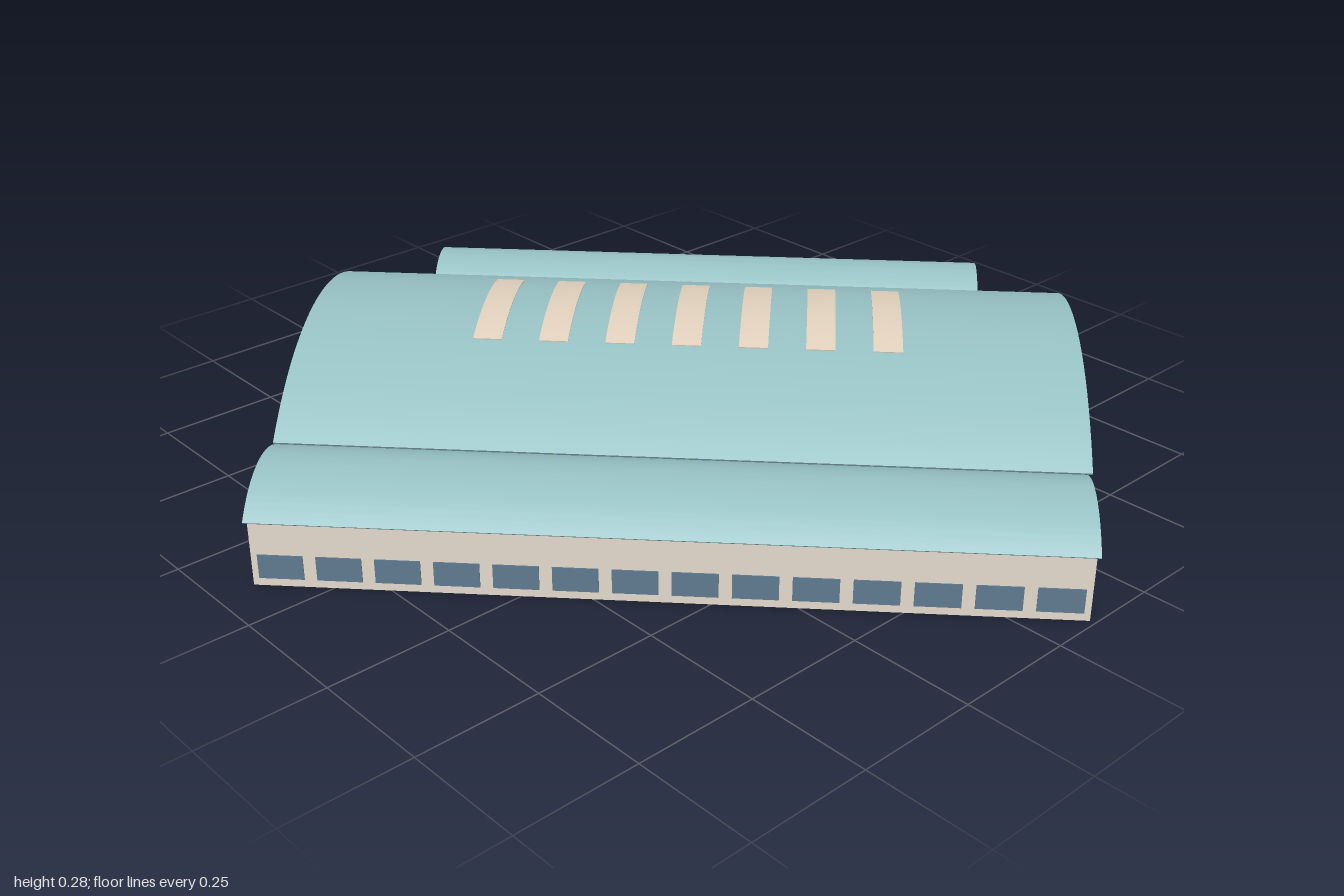
import * as THREE from 'three';
import { toCreasedNormals } from 'three/addons/utils/BufferGeometryUtils.js';

const mat = (color, side = THREE.FrontSide) => new THREE.MeshStandardMaterial({ color, side });
const WALL = mat(0xe2d8ca), ROOF = mat(0x96c0c3), GLASS = mat(0x5f7a90), STEEL = mat(0x3f6cab);
const SKY = mat(0xe0d0bc), FAN = mat(0x707a88, THREE.DoubleSide), DARK = mat(0x6a6a6c);

function add(parent, name, geo, material, x = 0, y = 0, z = 0) {
  const m = new THREE.Mesh(geo, material);
  m.name = name;
  m.position.set(x, y, z);
  parent.add(m);
  return m;
}
const box = (parent, name, material, w, h, d, x, y, z) =>
  add(parent, name, new THREE.BoxGeometry(w, h, d), material, x, y, z);

// Circle through both eaves and the crown of a vault
function arcOf(half, rise, eave) {
  const R = (half * half + rise * rise) / (2 * rise);
  return { R, cy: eave + rise - R, phi: Math.asin(Math.min(1, half / R)) };
}

// Extrude a (z, y) outline along x from x0 to x1
function along(shape, x0, x1) {
  const g = new THREE.ExtrudeGeometry(shape, { depth: x1 - x0, bevelEnabled: false, curveSegments: 28 });
  g.rotateY(Math.PI / 2).translate(x0, 0, 0);
  return toCreasedNormals(g, 0.5);
}

// Curved sheet following a vault arc
function sheet({ R, cy }, phi, thick, x0, x1) {
  const s = new THREE.Shape();
  s.absarc(0, cy, R + thick, Math.PI / 2 - phi, Math.PI / 2 + phi, false);
  s.absarc(0, cy, R, Math.PI / 2 + phi, Math.PI / 2 - phi, true);
  return along(s, x0, x1);
}

// Gable wall: rectangle below, arc above
function gable(arc, half, eave, base, x0, x1) {
  const s = new THREE.Shape();
  s.moveTo(-half, base);
  s.lineTo(half, base);
  s.lineTo(half, eave);
  s.absarc(0, arc.cy, arc.R, Math.PI / 2 - arc.phi, Math.PI / 2 + arc.phi, false);
  return along(s, x0, x1);
}

// Straight round bar between two points
function bar(parent, name, a, b, r, material) {
  const d = b.clone().sub(a);
  const m = add(parent, name, new THREE.CylinderGeometry(r, r, d.length(), 8), material);
  m.position.copy(a).addScaledVector(d, 0.5);
  m.quaternion.setFromUnitVectors(new THREE.Vector3(0, 1, 0), d.normalize());
}

// Vaulted wing with a row of windows on each wall; its ridge runs along x
function wing(name, len, width, eave, rise, nLong, nEnd, win) {
  const g = new THREE.Group();
  g.name = name;
  const t = 0.008, over = 0.006, L = len / 2 - over, H = width / 2 - over;
  const arc = arcOf(H, rise, eave), [w0, w1] = win, wy = (w0 + w1) / 2, wh = w1 - w0;
  for (const s of [-1, 1]) {
    box(g, 'longWall', WALL, 2 * L, eave, t, 0, eave / 2, s * (H - t / 2));
    add(g, 'gableWall', gable(arc, H, eave, 0, -t / 2, t / 2), WALL, s * (L - t / 2));
    const stepL = 2 * L / nLong, stepE = 2 * H / nEnd;
    for (let i = 0; i < nLong; i++)
      box(g, 'window', GLASS, stepL * 0.78, wh, t + 0.004, -L + stepL * (i + 0.5), wy, s * (H - t / 2));
    for (let i = 0; i < nEnd; i++)
      box(g, 'gableWindow', GLASS, t + 0.004, wh, stepE * 0.72, s * (L - t / 2), wy, -H + stepE * (i + 0.5));
  }
  add(g, 'wingRoof', sheet(arc, arc.phi + over / arc.R, 0.005, -len / 2, len / 2), ROOF);
  return g;
}

// Small kiosk with a hipped roof
function kiosk(x) {
  const g = new THREE.Group();
  g.name = 'kiosk';
  g.position.x = x;
  for (const s of [-1, 1]) {
    box(g, 'kioskWall', WALL, 0.006, 0.05, 0.11, s * 0.06, 0.025, 0);
    box(g, 'kioskWall', WALL, 0.12, 0.05, 0.006, 0, 0.025, s * 0.052);
    for (const k of [-1, 1]) {
      box(g, 'kioskWindow', GLASS, 0.009, 0.022, 0.036, s * 0.06, 0.028, k * 0.024);
      box(g, 'kioskWindow', GLASS, 0.042, 0.022, 0.009, k * 0.027, 0.028, s * 0.052);
    }
  }
  const roof = new THREE.ConeGeometry(Math.SQRT1_2, 0.033, 4).rotateY(Math.PI / 4);
  add(g, 'kioskRoof', toCreasedNormals(roof.scale(0.14, 1, 0.125), 0.3), DARK, 0, 0.0665, 0);
  return g;
}

const HALF = 0.394, EAVE = 0.14, RISE = 0.135;
const hallArc = arcOf(HALF, RISE, EAVE);
const onArc = (off, phi, x = 0) => new THREE.Vector3(x,
  hallArc.cy + (hallArc.R - off) * Math.cos(phi), (hallArc.R - off) * Math.sin(phi));

// Open end of the hall: columns, arched truss, glazed fan, transom
function hallEnd() {
  const g = new THREE.Group();
  g.name = 'hallEnd';
  const n = 16, P = hallArc.phi * 0.985;
  for (const [off, r] of [[0.006, 0.006], [0.034, 0.004]]) {
    const pts = Array.from({ length: n + 1 }, (_, i) => onArc(off, -P + 2 * P * i / n));
    add(g, 'archChord', new THREE.TubeGeometry(new THREE.CatmullRomCurve3(pts), 40, r, 8), STEEL);
  }
  for (let i = 0; i < n; i++) {
    const a = -P + 2 * P * i / n, b = a + 2 * P / n;
    bar(g, 'trussWeb', onArc(i % 2 ? 0.034 : 0.006, a), onArc(i % 2 ? 0.006 : 0.034, b), 0.0025, STEEL);
  }
  for (const z of [-0.383, -0.068, 0.068, 0.383]) {
    const top = Math.abs(z) > 0.2 ? EAVE : 0.265;
    add(g, 'column', new THREE.CylinderGeometry(0.008, 0.008, top, 12), STEEL, 0, top / 2, z);
  }
  // Fan window with radiating glazing bars
  add(g, 'fanGlass', gable(hallArc, HALF, EAVE, EAVE - 0.002, -0.002, 0.002), FAN, -0.03);
  for (let i = 1; i < 12; i++) {
    const p = -P + 2 * P * i / 12;
    bar(g, 'fanBar', new THREE.Vector3(-0.024, EAVE, Math.sin(p) * 0.2), onArc(0.005, p, -0.024), 0.002, DARK);
  }
  box(g, 'transomBeam', WALL, 0.016, 0.026, 2 * HALF - 0.02, -0.024, 0.122, 0);
  box(g, 'transomRail', STEEL, 0.01, 0.008, 2 * HALF - 0.02, 0, 0.14, 0);
  return g;
}

export function createModel() {
  const model = new THREE.Group();
  model.name = 'vaultedHall';
  const site = new THREE.Group();
  site.name = 'site';
  site.rotation.y = THREE.MathUtils.degToRad(43);
  model.add(site);

  // Great hall, open beneath its roof
  const hall = new THREE.Group();
  hall.name = 'hall';
  hall.position.set(0.04, 0, -0.072);
  site.add(hall);
  const L = 0.778;
  add(hall, 'hallRoof', sheet(hallArc, hallArc.phi, 0.006, -L, L), ROOF);
  for (const s of [-1, 1]) {
    const end = hallEnd();
    end.position.x = s * (L - 0.018);
    end.rotation.y = s > 0 ? 0 : Math.PI;
    hall.add(end);
    box(hall, 'eaveBeam', STEEL, 2 * L - 0.04, 0.01, 0.008, 0, EAVE - 0.004, s * (HALF - 0.008));
    // Inner posts with steel feet
    for (let i = 0; i < 6; i++) {
      const x = -0.333 + i * 0.133;
      add(hall, 'postFoot', new THREE.CylinderGeometry(0.006, 0.006, 0.04, 10), STEEL, x, 0.02, s * 0.21);
      add(hall, 'post', new THREE.CylinderGeometry(0.005, 0.005, 0.198, 10), WALL, x, 0.139, s * 0.21);
    }
  }
  // Skylights across the crown
  const skyArc = { R: hallArc.R + 0.004, cy: hallArc.cy };
  for (let i = 0; i < 7; i++) {
    const x = -0.398 + i * 0.133;
    add(hall, 'skylight', sheet(skyArc, 0.235, 0.004, x - 0.029, x + 0.029), SKY);
  }
  hall.add(kiosk(-0.66), kiosk(0.46));

  // Side wings and the little annex
  const south = wing('longWing', 1.514, 0.276, 0.135, 0.053, 14, 3, [0.016, 0.065]);
  south.position.set(0.041, 0, 0.469);
  const north = wing('shortWing', 1.244, 0.2, 0.135, 0.045, 12, 3, [0.016, 0.065]);
  north.position.set(0.041, 0, -0.567);
  const annex = wing('annex', 0.193, 0.082, 0.045, 0.023, 3, 1, [0.012, 0.036]);
  annex.position.set(-0.708, 0, -0.566);
  annex.rotation.y = Math.PI / 2;
  site.add(south, north, annex);
  return model;
}
